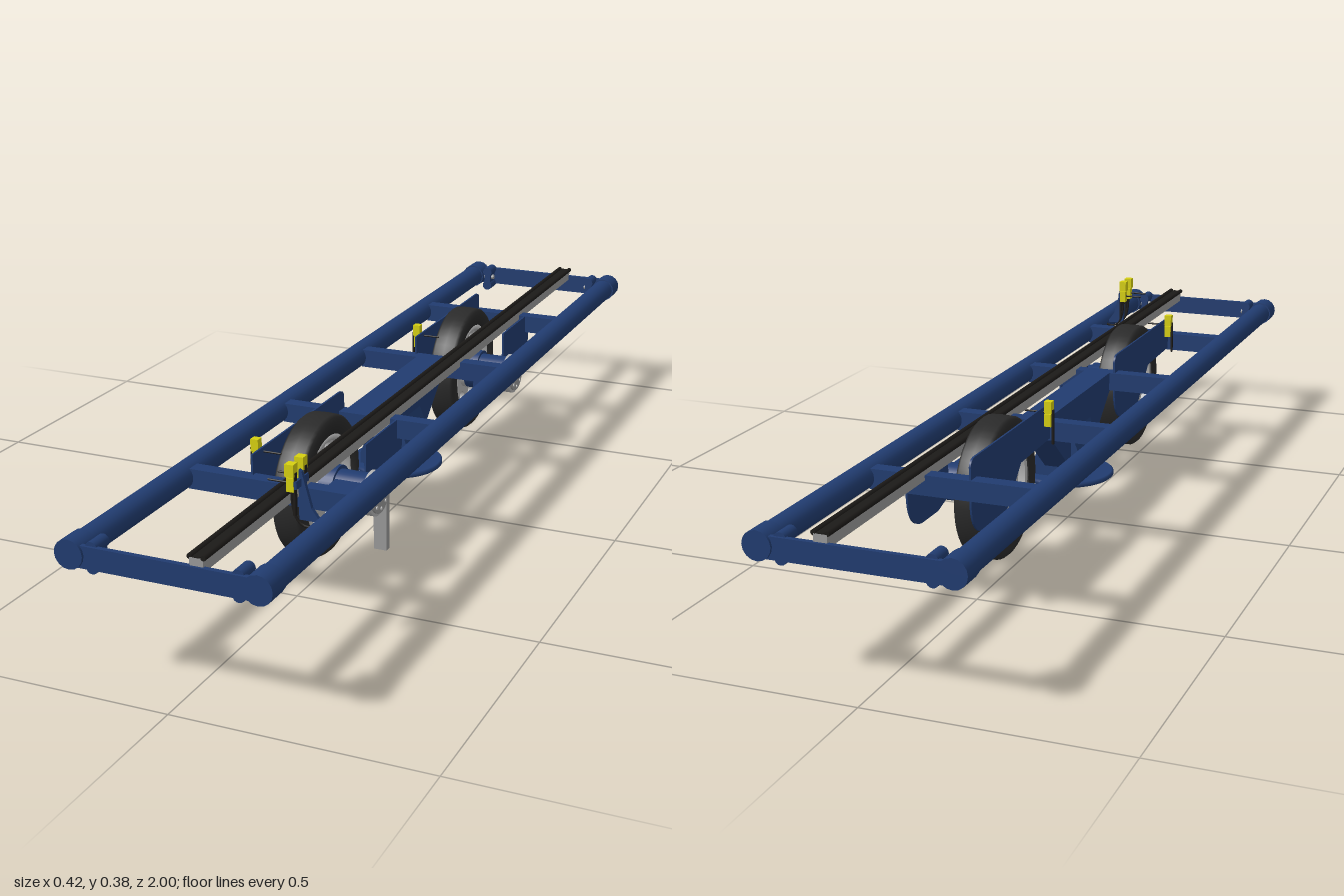
import * as THREE from 'three';

const mat = (name, color, side = THREE.FrontSide) => {
  const m = new THREE.MeshStandardMaterial({ color, side });
  m.name = name;
  return m;
};

export function createModel() {
  const root = new THREE.Group();
  root.name = 'bogieFrame';
  const blue = mat('frameBlue', 0x213c70);
  const rubber = mat('rubberBlack', 0x2a2a2a);
  const black = mat('trimBlack', 0x1c1a18);
  const grey = mat('steelGrey', 0x999999);
  const light = mat('rimGrey', 0xb4b4b4);
  const yellow = mat('sensorYellow', 0xd6d010);

  const add = (parent, name, geo, material, x = 0, y = 0, z = 0) => {
    const m = new THREE.Mesh(geo, material);
    m.name = name;
    m.position.set(x, y, z);
    parent.add(m);
    return m;
  };
  // Box given by its min and max on each axis
  const box = (parent, name, material, x0, x1, y0, y1, z0, z1) =>
    add(parent, name, new THREE.BoxGeometry(x1 - x0, y1 - y0, z1 - z0), material,
      (x0 + x1) / 2, (y0 + y1) / 2, (z0 + z1) / 2);
  // Cylinder along x between two x values
  const cylX = (parent, name, material, r, x0, x1, y, z, n = 32) =>
    add(parent, name, new THREE.CylinderGeometry(r, r, x1 - x0, n).rotateZ(Math.PI / 2), material, (x0 + x1) / 2, y, z);
  const cylZ = (parent, name, material, r, x, y, z0, z1, n = 24) =>
    add(parent, name, new THREE.CylinderGeometry(r, r, z1 - z0, n).rotateX(Math.PI / 2), material, x, y, (z0 + z1) / 2);
  // Plate with a (z, y) outline and its thickness along x
  const plateX = (parent, name, material, shape, x, t, z = 0) => {
    const g = new THREE.ExtrudeGeometry(shape, { depth: t, bevelEnabled: false, curveSegments: 16 });
    g.translate(0, 0, -t / 2).rotateY(-Math.PI / 2);
    return add(parent, name, g, material, x, 0, z);
  };
  const poly = pts => new THREE.Shape(pts.map(p => new THREE.Vector2(...p)));

  // Frame: side tubes, end plates, cross beams
  for (const s of [-1, 1]) {
    cylZ(root, 'sideTube', blue, 0.025, s * 0.18, 0.267, -0.995, 0.995);
    for (const e of [-1, 1]) {
      const z0 = e > 0 ? 0.95 : -1;
      cylZ(root, 'tubeCollar', blue, 0.028, s * 0.18, 0.267, z0, z0 + 0.05, 16);
      // Corner lugs with pins
      box(root, 'cornerLug', blue, s * 0.14 - 0.008, s * 0.14 + 0.008, 0.243, 0.285, e * 0.97 - 0.018, e * 0.97 + 0.018);
      for (const y of [0.245, 0.281])
        cylZ(root, 'lugPin', blue, 0.012, s * 0.14, y, e * 0.97 - 0.02, e * 0.97 + 0.02, 16);
      cylX(root, 'lugBolt', grey, 0.006, s * 0.14 - 0.014, s * 0.14 + 0.014, 0.266, e * 0.965, 12);
    }
  }
  for (const e of [-1, 1]) {
    box(root, 'endPlate', blue, -0.17, 0.17, 0.243, 0.285, e * 0.99 - 0.005, e * 0.99 + 0.005);
    for (const z of [0.2, 0.6])
      box(root, 'crossBeam', blue, -0.165, 0.165, 0.245, 0.285, e * z - 0.015, e * z + 0.015);
  }

  // Central pedestal: spine, tapered web, side gussets and round foot
  box(root, 'spine', blue, -0.03, 0.03, 0.243, 0.285, -0.19, 0.19);
  plateX(root, 'pedestalWeb', blue,
    poly([[-0.06, 0.11], [0.06, 0.11], [0.06, 0.135], [0.19, 0.246], [-0.19, 0.246], [-0.06, 0.135]]), 0, 0.06);
  const gusset = new THREE.ExtrudeGeometry(
    poly([[-0.06, 0.11], [0.06, 0.11], [0.06, 0.135], [0.03, 0.217], [-0.03, 0.217], [-0.06, 0.135]]),
    { depth: 0.12, bevelEnabled: false });
  add(root, 'pedestalGusset', gusset, blue, 0, 0, -0.06);
  const foot = [[0, 0.101], [0.096, 0.101], [0.1, 0.104], [0.1, 0.11], [0.096, 0.113], [0, 0.113]];
  add(root, 'roundFoot', new THREE.LatheGeometry(foot.map(p => new THREE.Vector2(...p)), 48), blue);

  // Conductor rail: grey channel with black lips and insert
  box(root, 'rail', grey, 0.05, 0.076, 0.275, 0.3, -0.99, 0.99);
  box(root, 'railInsert', black, 0.056, 0.07, 0.3, 0.302, -0.99, 0.99);
  for (const x of [0.05, 0.076]) cylZ(root, 'railLip', black, 0.005, x, 0.301, -0.99, 0.99, 8);

  // Hanging post
  box(root, 'post', grey, 0.048, 0.077, 0, 0.275, 0.219, 0.235);

  // Wheel unit, repeated on both axles; its origin sits on the axle's z
  const tyreProfile = [[0.104, -0.028], [0.128, -0.031], [0.137, -0.029], [0.142, -0.023], [0.143, 0],
    [0.142, 0.022], [0.137, 0.028], [0.128, 0.03], [0.104, 0.027], [0.104, -0.028]]
    .map(p => new THREE.Vector2(...p));
  const rimShape = new THREE.Shape().absarc(0, 0, 0.094, 0, Math.PI * 2);
  for (let i = 0; i < 8; i++) {
    const a = (i + 0.5) * Math.PI / 4;
    rimShape.holes.push(new THREE.Path().absarc(Math.cos(a) * 0.072, Math.sin(a) * 0.072, 0.015, 0, Math.PI * 2, true));
  }
  const rimProfile = [[0.092, -0.025], [0.106, -0.025], [0.106, 0.025], [0.092, 0.025], [0.092, -0.025]]
    .map(p => new THREE.Vector2(...p));
  const outerArm = new THREE.Shape();
  outerArm.moveTo(0.195, 0.325).lineTo(0.195, 0.25).lineTo(0.03, 0.245).lineTo(-0.04, 0.175)
    .quadraticCurveTo(-0.06, 0.165, -0.14, 0.165).quadraticCurveTo(-0.21, 0.17, -0.212, 0.24)
    .lineTo(-0.212, 0.31).quadraticCurveTo(-0.21, 0.325, -0.19, 0.325);
  const innerArm = new THREE.Shape();
  innerArm.moveTo(-0.03, 0.285).lineTo(-0.03, 0.18).lineTo(-0.08, 0.165).lineTo(-0.15, 0.165)
    .quadraticCurveTo(-0.21, 0.17, -0.212, 0.24).lineTo(-0.212, 0.285);

  for (const z of [0.4, -0.4]) {
    const unit = new THREE.Group();
    unit.name = z > 0 ? 'frontWheelUnit' : 'rearWheelUnit';
    unit.position.z = z;
    root.add(unit);
    const turned = p => new THREE.LatheGeometry(p, 48).rotateZ(-Math.PI / 2);
    add(unit, 'tyre', turned(tyreProfile), rubber, 0, 0.2, 0);
    add(unit, 'rimRing', turned(rimProfile), light, 0, 0.2, 0);
    plateX(unit, 'rimDisc', light, rimShape, 0, 0.02).position.y = 0.2;
    cylX(unit, 'hub', light, 0.045, -0.02, 0.02, 0.2, 0);
    cylX(unit, 'axle', grey, 0.02, -0.036, 0.03, 0.2, 0, 20);

    // Drive motor with terminal box and end cap
    cylX(unit, 'gearbox', blue, 0.045, 0.02, 0.05, 0.2, 0);
    cylX(unit, 'motorBody', blue, 0.038, 0.05, 0.115, 0.2, 0);
    box(unit, 'terminalBox', blue, 0.052, 0.105, 0.174, 0.228, 0.02, 0.064);
    box(unit, 'terminalLid', blue, 0.057, 0.1, 0.179, 0.223, 0.064, 0.068);
    cylX(unit, 'motorCap', light, 0.045, 0.114, 0.132, 0.2, 0);
    cylX(unit, 'motorCapFace', grey, 0.039, 0.132, 0.137, 0.2, 0);
    for (let i = 0; i < 8; i++) {
      const a = i * Math.PI / 4;
      cylX(unit, 'capBolt', light, 0.004, 0.137, 0.139, 0.2 + Math.sin(a) * 0.03, Math.cos(a) * 0.03, 8);
    }

    // Support arms on both sides of the wheel
    plateX(unit, 'outerArm', blue, outerArm, -0.04, 0.004);
    plateX(unit, 'innerArm', blue, innerArm, 0.09, 0.004);

    // Wheel sensor
    box(unit, 'sensorHead', yellow, -0.062, -0.046, 0.315, 0.34, 0.142, 0.158);
    box(unit, 'sensorBase', yellow, -0.06, -0.046, 0.287, 0.313, 0.144, 0.156);
    box(unit, 'sensorStalk', black, -0.065, -0.061, 0.25, 0.322, 0.147, 0.153);
    cylX(unit, 'sensorLever', black, 0.002, -0.05, -0.002, 0.316, 0.15, 8);
  }

  // Twin rail sensors on a bracket
  const wedge = new THREE.ExtrudeGeometry(
    poly([[0.118, 0.27], [0.16, 0.27], [0.142, 0.295], [0.124, 0.362], [0.118, 0.365]]),
    { depth: 0.008, bevelEnabled: false });
  add(root, 'sensorBracket', wedge, blue, 0, 0, 0.711);
  box(root, 'sensorBar', blue, 0.118, 0.124, 0.335, 0.35, 0.69, 0.74);
  for (const z of [0.695, 0.735]) {
    box(root, 'railSensorHead', yellow, 0.103, 0.12, 0.358, 0.382, z - 0.009, z + 0.009);
    box(root, 'railSensorBase', yellow, 0.105, 0.119, 0.33, 0.356, z - 0.007, z + 0.007);
    box(root, 'railSensorStalk', black, 0.116, 0.121, 0.285, 0.365, z - 0.004, z + 0.004);
    cylX(root, 'railSensorLever', black, 0.002, 0.066, 0.108, 0.345, z, 8);
    // Hanging cable loop
    const cable = new THREE.QuadraticBezierCurve3(new THREE.Vector3(0.112, 0.33, z),
      new THREE.Vector3(0.112, 0.25, z), new THREE.Vector3(0.16, 0.27, z));
    add(root, 'sensorCable', new THREE.TubeGeometry(cable, 12, 0.0025, 6), black);
  }
  return root;
}
